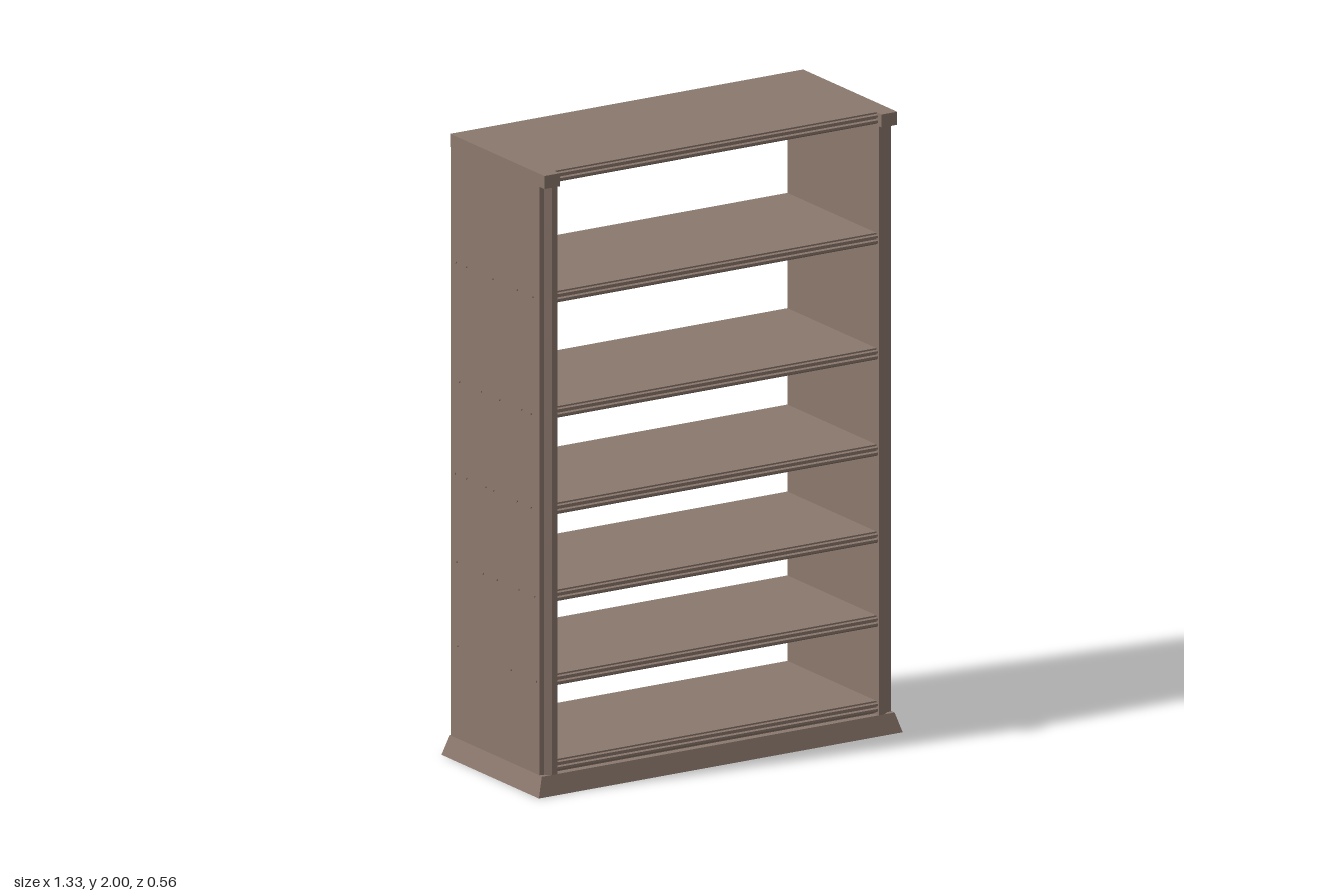
import * as THREE from 'three';

const wood = new THREE.MeshStandardMaterial({ color: 0x8b786d });
wood.name = 'brown wood';

function add(group, name, geometry, x = 0, y = 0, z = 0) {
  const mesh = new THREE.Mesh(geometry, wood);
  mesh.name = name;
  mesh.position.set(x, y, z);
  group.add(mesh);
  return mesh;
}

function extrude(points, depth) {
  const shape = new THREE.Shape(points.map(([a, b]) => new THREE.Vector2(a, b)));
  return new THREE.ExtrudeGeometry(shape, { depth, bevelEnabled: false });
}

// Board running along x with a moulded front edge
function board(height, length) {
  const h = height;
  return extrude([
    [-0.26, 0], [0.252, 0], [0.26, 0.15 * h], [0.26, 0.35 * h], [0.25, 0.42 * h],
    [0.25, 0.55 * h], [0.26, 0.62 * h], [0.26, 0.8 * h], [0.25, 0.86 * h], [0.25, h], [-0.26, h],
  ], length).rotateY(-Math.PI / 2).translate(length / 2, 0, 0);
}

// Upright side panel whose front edge steps back toward the outside
function sidePanel(side, height) {
  const plan = [
    [0.588, -0.26], [0.642, -0.26], [0.642, 0.248], [0.627, 0.25], [0.608, 0.265], [0.588, 0.265],
  ];
  return extrude(plan.map(([x, z]) => [side * x, -z]), height).rotateX(-Math.PI / 2);
}

export function createModel() {
  const model = new THREE.Group();
  model.name = 'bookcase';

  // Flared plinth
  const plinth = new THREE.BoxGeometry(1.33, 0.063, 0.56).translate(0, 0.0315, 0);
  const p = plinth.attributes.position;
  for (let i = 0; i < p.count; i++) {
    if (p.getY(i) > 0.03) {
      p.setX(i, Math.sign(p.getX(i)) * 0.645);
      p.setZ(i, Math.sign(p.getZ(i)) * 0.265);
    }
  }
  plinth.computeVertexNormals();
  add(model, 'plinth', plinth);

  // Shelves, bottom to top: lower face heights
  const shelfHeights = [0.07, 0.345, 0.615, 0.895, 1.205, 1.576];
  shelfHeights.forEach((y, i) => add(model, `shelf${i + 1}`, board(0.036, 1.178), 0, y, 0));
  add(model, 'bottomRail', new THREE.BoxGeometry(1.178, 0.01, 0.5), 0, 0.066, -0.01);

  // Top board between the end caps
  add(model, 'topBoard', board(0.036, 1.178), 0, 1.964, 0);

  // Pin positions along z for each row on the side panels
  const pinRows = [
    [0.362, [0.23, 0.085, -0.22]],
    [0.632, [0.22, 0.13, 0.005, -0.075, -0.225]],
    [0.914, [0.2, 0.12, -0.015, -0.06, -0.17, -0.235]],
    [1.215, [0.2, 0.145, 0.02, -0.085, -0.21]],
    [1.594, [0.21, 0.12, -0.02, -0.17, -0.23]],
  ];
  const pin = new THREE.CylinderGeometry(0.004, 0.004, 0.008, 6).rotateZ(Math.PI / 2);

  for (const side of [1, -1]) {
    const label = side > 0 ? 'left' : 'right';
    add(model, `${label}SidePanel`, sidePanel(side, 1.897), 0, 0.063, 0);
    add(model, `${label}TopCap`, new THREE.BoxGeometry(0.057, 0.042, 0.54), side * 0.6165, 1.979, 0.01);
    const pins = new THREE.Group();
    pins.name = `${label}ShelfPins`;
    for (const [y, zs] of pinRows) {
      for (const z of zs) add(pins, 'shelfPin', pin, side * 0.642, y, z);
    }
    model.add(pins);
  }
  return model;
}
